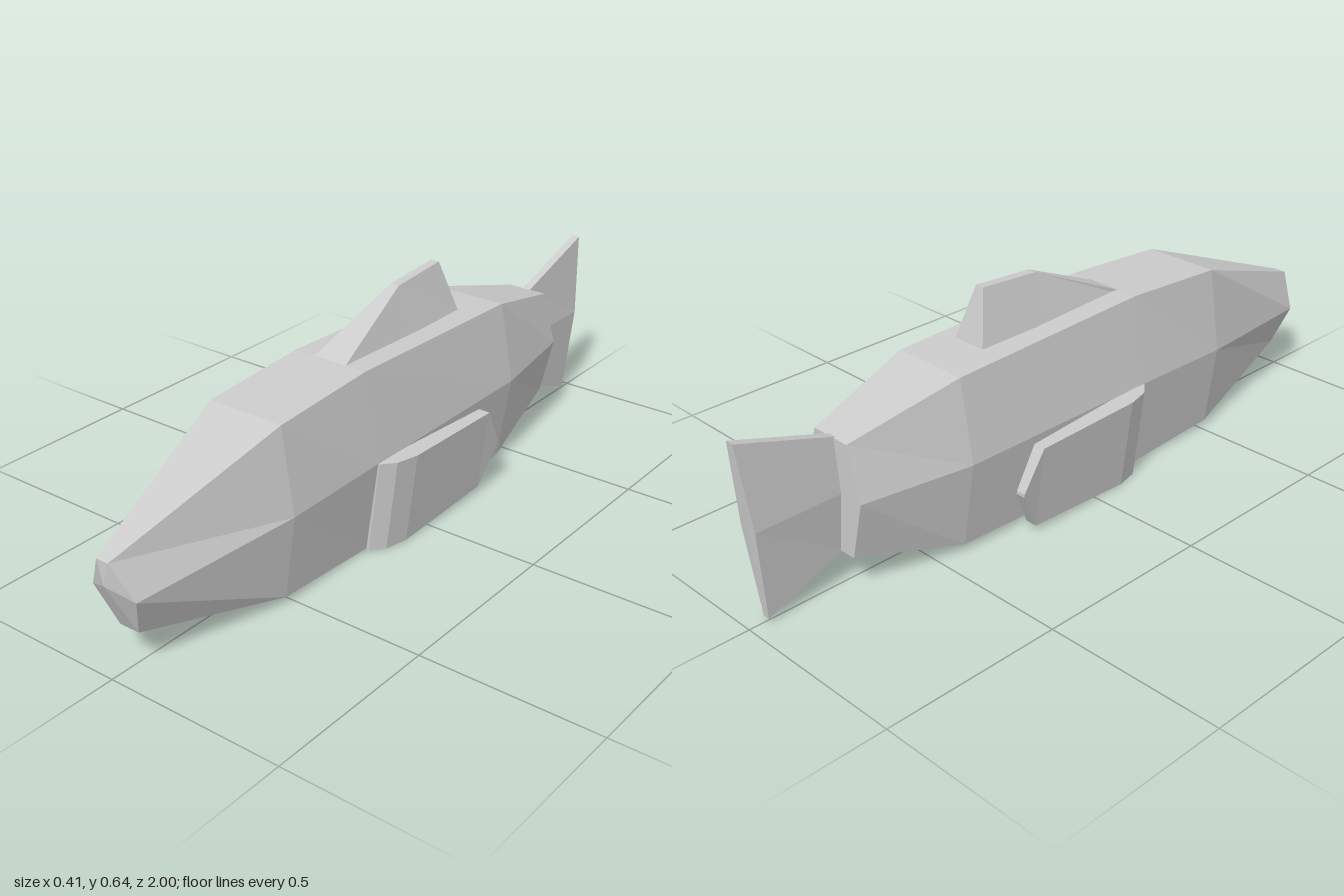
import * as THREE from 'three';

const material = new THREE.MeshStandardMaterial({ color: 0xcccccc, flatShading: true, side: THREE.DoubleSide });

// Skins rings of [x, y, z] points (counterclockwise seen from +z, running towards +z) and closes both ends.
function loft(name, rings, frontCentre) {
  const pos = [];
  const tri = (a, b, c) => pos.push(...a, ...b, ...c);
  const n = rings[0].length;
  const centre = ring => [0, 1, 2].map(k => ring.reduce((s, p) => s + p[k], 0) / n);
  const first = rings[0], last = rings[rings.length - 1];
  const back = centre(first), front = frontCentre || centre(last);
  for (let j = 0; j < n; j++) {
    const k = (j + 1) % n;
    for (let i = 0; i + 1 < rings.length; i++) {
      const r = rings[i], s = rings[i + 1];
      tri(r[j], r[k], s[k]);
      tri(r[j], s[k], s[j]);
    }
    tri(back, first[k], first[j]);
    tri(front, last[j], last[k]);
  }
  const geometry = new THREE.BufferGeometry();
  geometry.setAttribute('position', new THREE.Float32BufferAttribute(pos, 3));
  geometry.computeVertexNormals();
  const mesh = new THREE.Mesh(geometry, material);
  mesh.name = name;
  return mesh;
}

// Six-sided section from [half width, y, z] at its bottom, middle and top.
const hexagon = (b, m, t) => [
  [b[0], b[1], b[2]], [m[0], m[1], m[2]], [t[0], t[1], t[2]],
  [-t[0], t[1], t[2]], [-m[0], m[1], m[2]], [-b[0], b[1], b[2]],
];

function createBody() {
  // z, bottom y, middle y, top y, edge half width, middle half width
  const sections = [
    [-0.73, 0.1, 0.265, 0.41, 0.06, 0.1],
    [-0.42, 0.02, 0.265, 0.49, 0.11, 0.15],
    [0.2, 0.002, 0.265, 0.51, 0.112, 0.152],
    [0.52, 0.018, 0.255, 0.49, 0.112, 0.146],
  ];
  const rings = sections.map(([z, b, m, t, e, w]) => hexagon([e, b, z], [w, m, z], [e, t, z]));
  // Snout, slanting back under the chin
  rings.push(hexagon([0.03, 0.105, 0.935], [0.069, 0.217, 0.97], [0.018, 0.315, 0.998]));
  return loft('body', rings, [0, 0.25, 1]);
}

function createTailFin() {
  return loft('tailFin', [
    hexagon([0.01, 0.01, -0.95], [0.027, 0.265, -0.975], [0.012, 0.5, -1]),
    hexagon([0.01, 0.1, -0.72], [0.027, 0.265, -0.72], [0.012, 0.41, -0.72]),
  ]);
}

function createDorsalFin() {
  const section = (baseZ, topZ, topY, topW) => [
    [0.05, 0.5, baseZ], [topW, topY, topZ], [-topW, topY, topZ], [-0.05, 0.5, baseZ],
  ];
  return loft('dorsalFin', [
    section(-0.29, -0.25, 0.643, 0.013),
    section(-0.07, -0.07, 0.63, 0.013),
    section(0.2, 0.2, 0.51, 0.05),
  ]);
}

// Side plate leaning in at the bottom and flaring away from the body at the back
function createSideFin(name, side) {
  // z, bottom y, top y, inner x, outer x (at the top)
  const sections = [
    [-0.29, 0.135, 0.145, 0.182, 0.21],
    [-0.23, 0.018, 0.257, 0.17, 0.205],
    [0.1, 0.001, 0.264, 0.15, 0.203],
    [0.165, 0, 0.265, 0.148, 0.187],
    [0.2, 0, 0.265, 0.148, 0.156],
  ];
  const lean = y => 0.035 * (1 - y / 0.265);
  const rings = sections.map(([z, b, t, inner, outer]) => {
    const ring = [
      [inner - lean(b), b, z], [outer - lean(b), b, z],
      [outer - lean(t), t, z], [inner - lean(t), t, z],
    ].map(([x, y, zz]) => [side * x, y, zz]);
    return side > 0 ? ring : ring.reverse();
  });
  return loft(name, rings);
}

export function createModel() {
  const model = new THREE.Group();
  model.name = 'fish';
  model.add(
    createBody(),
    createTailFin(),
    createDorsalFin(),
    createSideFin('leftSideFin', 1),
    createSideFin('rightSideFin', -1),
  );
  return model;
}
